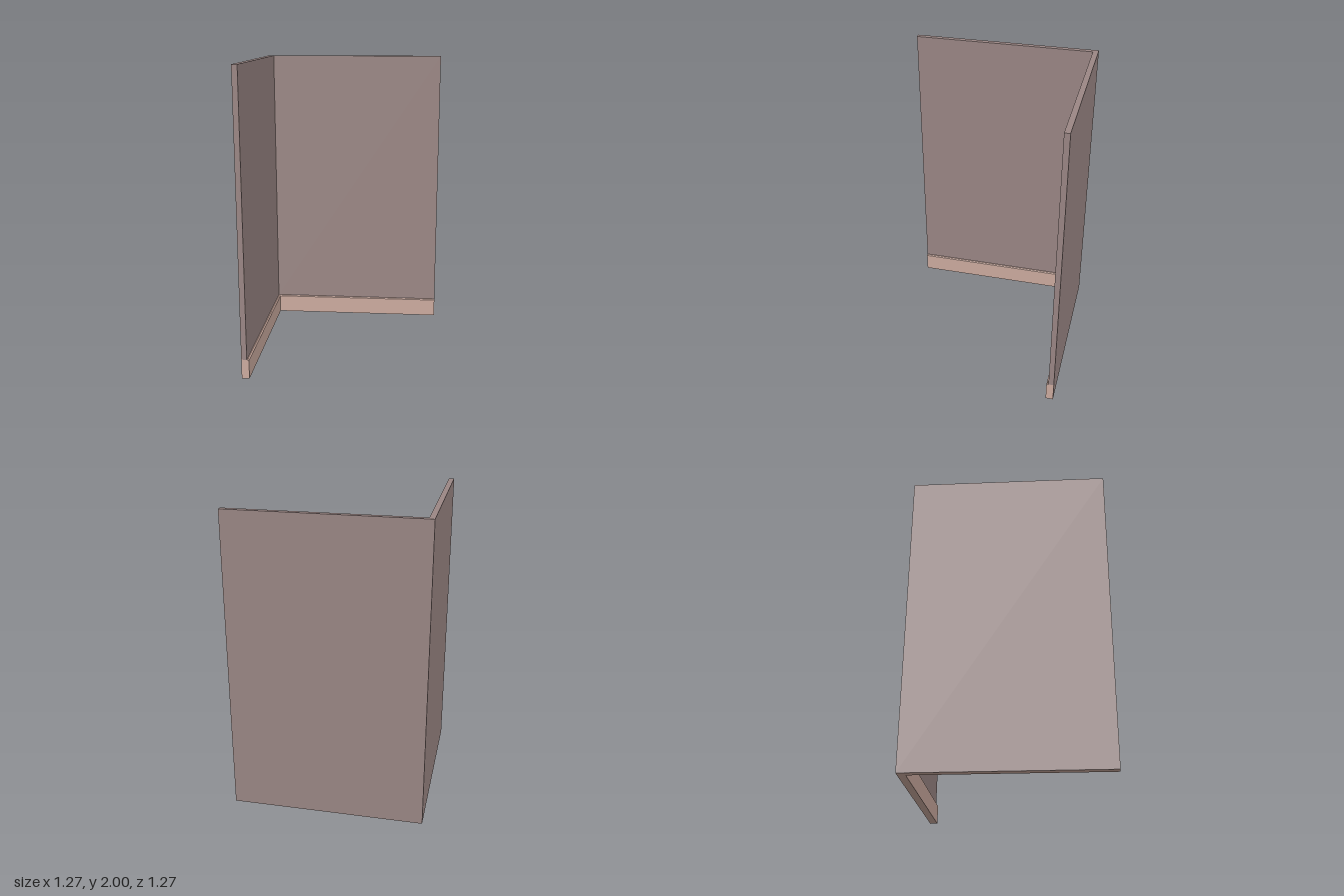
import * as THREE from 'three';

const END = 0.633;     // free end of both walls
const OUT = -0.633;    // outer wall face
const IN = -0.597;     // inner wall face
const SKIRT = -0.583;  // inner skirting face
const H = 0.131;       // top of the skirting

// Sweeps an open profile of [offset, y] points around the mitred corner.
function sweep(points) {
  const pos = [];
  const rail = ([c, y]) => [[c, y, END], [c, y, c], [END, y, c]];
  for (let i = 0; i < points.length - 1; i++) {
    const a = rail(points[i]), b = rail(points[i + 1]);
    for (let k = 0; k < 2; k++) {
      for (const p of [a[k], a[k + 1], b[k + 1], a[k], b[k + 1], b[k]]) pos.push(...p);
    }
  }
  const g = new THREE.BufferGeometry();
  g.setAttribute('position', new THREE.Float32BufferAttribute(pos, 3));
  g.computeVertexNormals();
  return g;
}

// Flat end face of a profile, on the left or the back wall's free end.
function endCap(points, onBackWall) {
  const g = new THREE.ShapeGeometry(new THREE.Shape(points.map(p => new THREE.Vector2(...p)))).toNonIndexed();
  const p = g.attributes.position;
  const pos = [];
  for (let i = 0; i < p.count; i += 3) {
    for (const k of onBackWall ? [0, 2, 1] : [0, 1, 2]) {
      const c = p.getX(i + k), y = p.getY(i + k);
      pos.push(...(onBackWall ? [END, y, c] : [c, y, END]));
    }
  }
  const out = new THREE.BufferGeometry();
  out.setAttribute('position', new THREE.Float32BufferAttribute(pos, 3));
  out.computeVertexNormals();
  return out;
}

export function createModel() {
  const root = new THREE.Group();
  root.name = 'wallCorner';
  const wallPaint = new THREE.MeshStandardMaterial({ color: 0x9b8785 });
  wallPaint.name = 'wallPaint';
  const skirtingPaint = new THREE.MeshStandardMaterial({ color: 0xcdaca0 });
  skirtingPaint.name = 'skirtingPaint';

  const add = (parent, name, geometry, material) => {
    const mesh = new THREE.Mesh(geometry, material);
    mesh.name = name;
    parent.add(mesh);
  };

  // Two walls meeting in a corner; the outer face runs down to the floor
  const walls = new THREE.Group();
  walls.name = 'walls';
  add(walls, 'wallFaces', sweep([[IN, H], [IN, 2], [OUT, 2], [OUT, 0]]), wallPaint);
  const wallEnd = [[OUT, H], [IN, H], [IN, 2], [OUT, 2]];
  add(walls, 'leftWallEnd', endCap(wallEnd, false), wallPaint);
  add(walls, 'backWallEnd', endCap(wallEnd, true), wallPaint);

  // Skirting with a small chamfer along its top
  const skirting = new THREE.Group();
  skirting.name = 'skirting';
  const skirtEnd = [[OUT, 0], [SKIRT, 0], [SKIRT, 0.125], [-0.591, H], [OUT, H]];
  add(skirting, 'skirtingFaces', sweep(skirtEnd.slice(0, 4).concat([[IN, H]])), skirtingPaint);
  add(skirting, 'leftSkirtingEnd', endCap(skirtEnd, false), skirtingPaint);
  add(skirting, 'backSkirtingEnd', endCap(skirtEnd, true), skirtingPaint);

  root.add(walls, skirting);
  return root;
}
